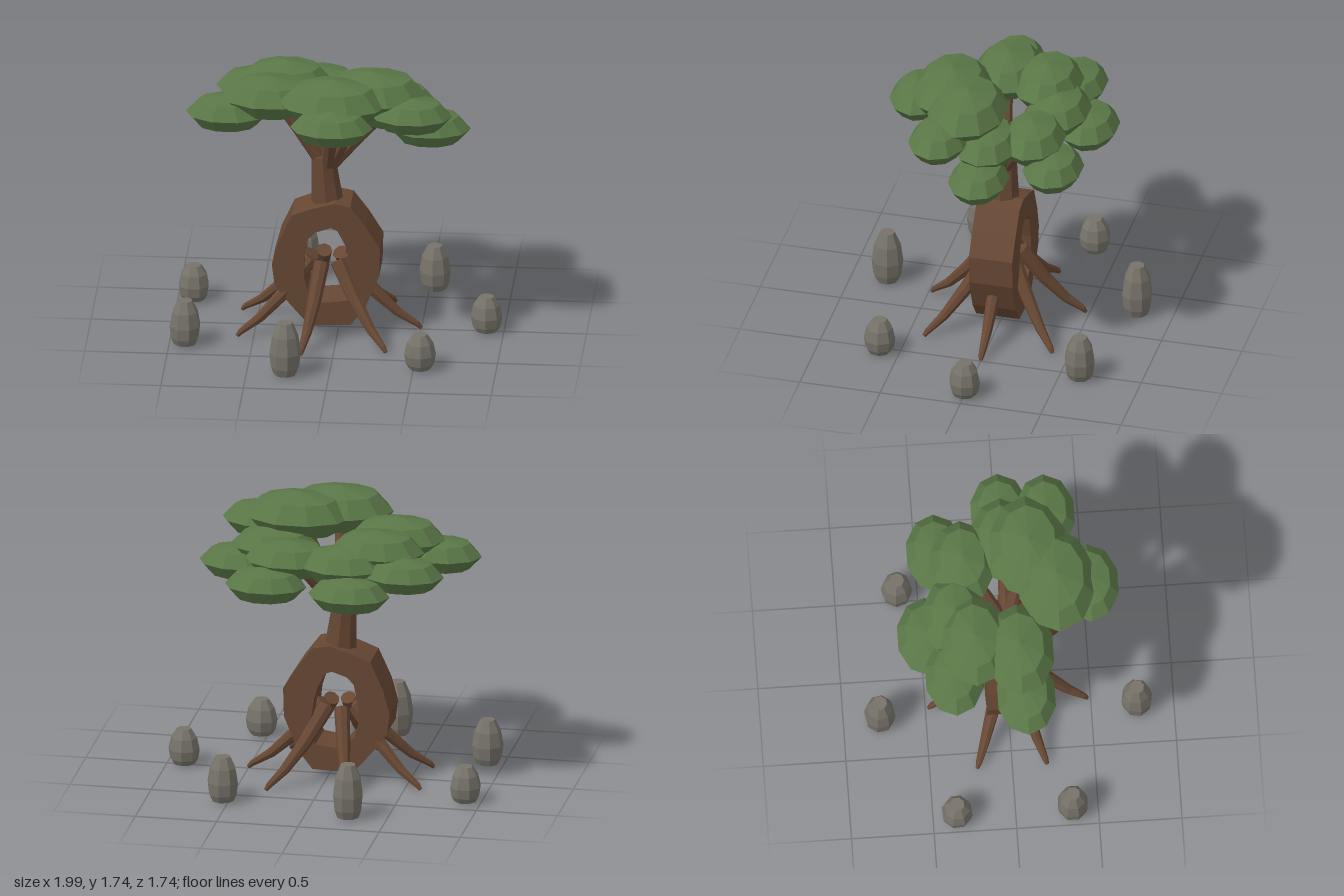
import * as THREE from 'three';

const mat = (name, color) => {
  const m = new THREE.MeshStandardMaterial({ color, flatShading: true });
  m.name = name;
  return m;
};

// Tapered tube through points [x, y, z, radius], closed at both ends
function taperedTube(points, sides = 8) {
  const centres = points.map(p => new THREE.Vector3(p[0], p[1], p[2]));
  const pos = [], index = [], last = points.length - 1;
  const first = centres[last].clone().sub(centres[0]).normalize();
  const ref = Math.abs(first.z) < 0.6 ? new THREE.Vector3(0, 0, 1) : new THREE.Vector3(1, 0, 0);
  centres.forEach((c, i) => {
    const dir = centres[Math.min(i + 1, last)].clone().sub(centres[Math.max(i - 1, 0)]).normalize();
    const u = ref.clone().cross(dir).normalize();
    const v = dir.clone().cross(u);
    for (let s = 0; s < sides; s++) {
      const a = s / sides * Math.PI * 2;
      const p = c.clone().addScaledVector(u, Math.cos(a) * points[i][3])
        .addScaledVector(v, Math.sin(a) * points[i][3]);
      pos.push(p.x, p.y, p.z);
      if (i < last) {
        const A = i * sides + s, B = i * sides + (s + 1) % sides;
        index.push(A, B, B + sides, A, B + sides, A + sides);
      }
    }
  });
  for (let s = 1; s < sides - 1; s++) {
    const e = last * sides;
    index.push(0, s + 1, s, e, e + s, e + s + 1);
  }
  const g = new THREE.BufferGeometry();
  g.setAttribute('position', new THREE.Float32BufferAttribute(pos, 3));
  g.setIndex(index);
  g.computeVertexNormals();
  return g;
}

export function createModel() {
  const model = new THREE.Group();
  const bark = mat('bark brown', 0x664733);
  const leaf = mat('leaf green', 0x5a7747);
  const stone = mat('stone grey', 0x77736a);
  const add = (name, geometry, material) => {
    const m = new THREE.Mesh(geometry, material);
    m.name = name;
    model.add(m);
    return m;
  };

  // Hollow lower trunk: an irregular ring with depth
  const pts = list => list.map(([x, y]) => new THREE.Vector2(x, y));
  const outline = new THREE.Shape(pts([
    [-0.17, 0.053], [0.08, 0.06], [0.17, 0.176], [0.255, 0.385], [0.26, 0.565], [0.17, 0.71],
    [0.08, 0.83], [-0.02, 0.85], [-0.16, 0.81], [-0.275, 0.765], [-0.355, 0.59],
    [-0.395, 0.44], [-0.38, 0.32], [-0.34, 0.25]]));
  outline.holes.push(new THREE.Path(pts([
    [-0.04, 0.69], [-0.13, 0.66], [-0.175, 0.615], [-0.2, 0.48], [-0.2, 0.36], [-0.18, 0.28],
    [-0.1, 0.2], [0, 0.21], [0.06, 0.22], [0.11, 0.32], [0.08, 0.42], [0.07, 0.51],
    [0.045, 0.59], [0, 0.675]])));
  const ring = new THREE.ExtrudeGeometry(outline, { depth: 0.27, bevelEnabled: false });
  ring.translate(0, 0, -0.135);
  add('hollowTrunk', ring, bark);

  // Upper trunk
  add('upperTrunk', taperedTube([
    [-0.065, 0.78, 0, 0.1], [-0.08, 0.95, 0, 0.085], [-0.095, 1.12, 0, 0.072]]), bark);

  // Roots: start inside the hollow, bend outward and reach the ground
  const tips = [[0.5, 0], [0.315, 0.4], [0.315, -0.4], [-0.195, 0.48], [-0.195, -0.48],
    [-0.6, 0.21], [-0.6, -0.21]];
  const rootSteps = [[0, 0.45, 0.048], [0.36, 0.25, 0.042], [0.7, 0.1, 0.03],
    [0.95, 0.025, 0.019], [1, 0, 0.012]];
  for (const [tx, tz] of tips) {
    const a = Math.atan2(tz, tx + 0.07);
    const sx = -0.07 + Math.cos(a) * 0.1, sz = Math.sin(a) * 0.1;
    add('root', taperedTube(rootSteps.map(([t, y, r]) =>
      [sx + (tx - sx) * t, y, sz + (tz - sz) * t, r])), bark);
  }

  // Inner foliage: centre x, y, z and half width
  const inner = [
    [-0.005, 1.585, 0.305, 0.33], [0.22, 1.585, 0.15, 0.33], [-0.41, 1.51, 0.055, 0.295],
    [-0.335, 1.51, -0.21, 0.29], [-0.15, 1.44, -0.32, 0.27], [0.2, 1.435, -0.25, 0.27],
    [0.33, 1.435, 0, 0.27]];
  // Outer foliage
  const outer = [
    [0.55, 1.315, 0], [0.46, 1.505, 0.27], [-0.005, 1.505, 0.505], [-0.67, 1.41, 0.08],
    [-0.52, 1.41, -0.345], [-0.215, 1.315, -0.495], [0.315, 1.315, -0.405]];
  const clump = new THREE.SphereGeometry(1, 10, 4);
  const addClump = (name, x, y, z, w, h) => {
    const m = add(name, clump, leaf);
    m.position.set(x, y, z);
    m.scale.set(w, h, w * 0.73);
  };
  inner.forEach(([x, y, z, w]) => addClump('innerFoliage', x, y, z, w, 0.44 * w + 0.003));
  outer.forEach(([x, y, z]) => addClump('outerFoliage', x, y, z, 0.25, 0.113));

  // Branches from the trunk top into each inner foliage clump
  for (const [x, y, z] of inner) {
    const a = Math.atan2(z, x + 0.07);
    add('branch', taperedTube([
      [-0.07 + Math.cos(a) * 0.02, 1.05, Math.sin(a) * 0.02, 0.044],
      [-0.07 + (x + 0.07) * 0.5, 1.05 + (y - 1.05) * 0.52, z * 0.5, 0.038],
      [-0.07 + (x + 0.07) * 0.9, y - 0.03, z * 0.9, 0.028]]), bark);
  }

  // Standing stones in a circle: x, z, height
  const stones = [[0.895, 0, 0.22], [0.54, 0.62, 0.22], [-0.265, 0.775, 0.335],
    [-0.905, 0.345, 0.28], [-0.905, -0.355, 0.22], [-0.265, -0.78, 0.335], [0.535, -0.625, 0.28]];
  const profile = pts([[0, 0], [0.068, 0], [0.087, 0.15], [0.096, 0.42], [0.08, 0.75],
    [0.045, 1], [0, 1]]);
  const stoneShape = new THREE.LatheGeometry(profile, 8);
  stones.forEach(([x, z, h], i) => {
    const m = add('standingStone', stoneShape, stone);
    m.position.set(x, 0, z);
    m.scale.set(1, h, 1);
    m.rotation.y = i * 0.9;
  });
  return model;
}
